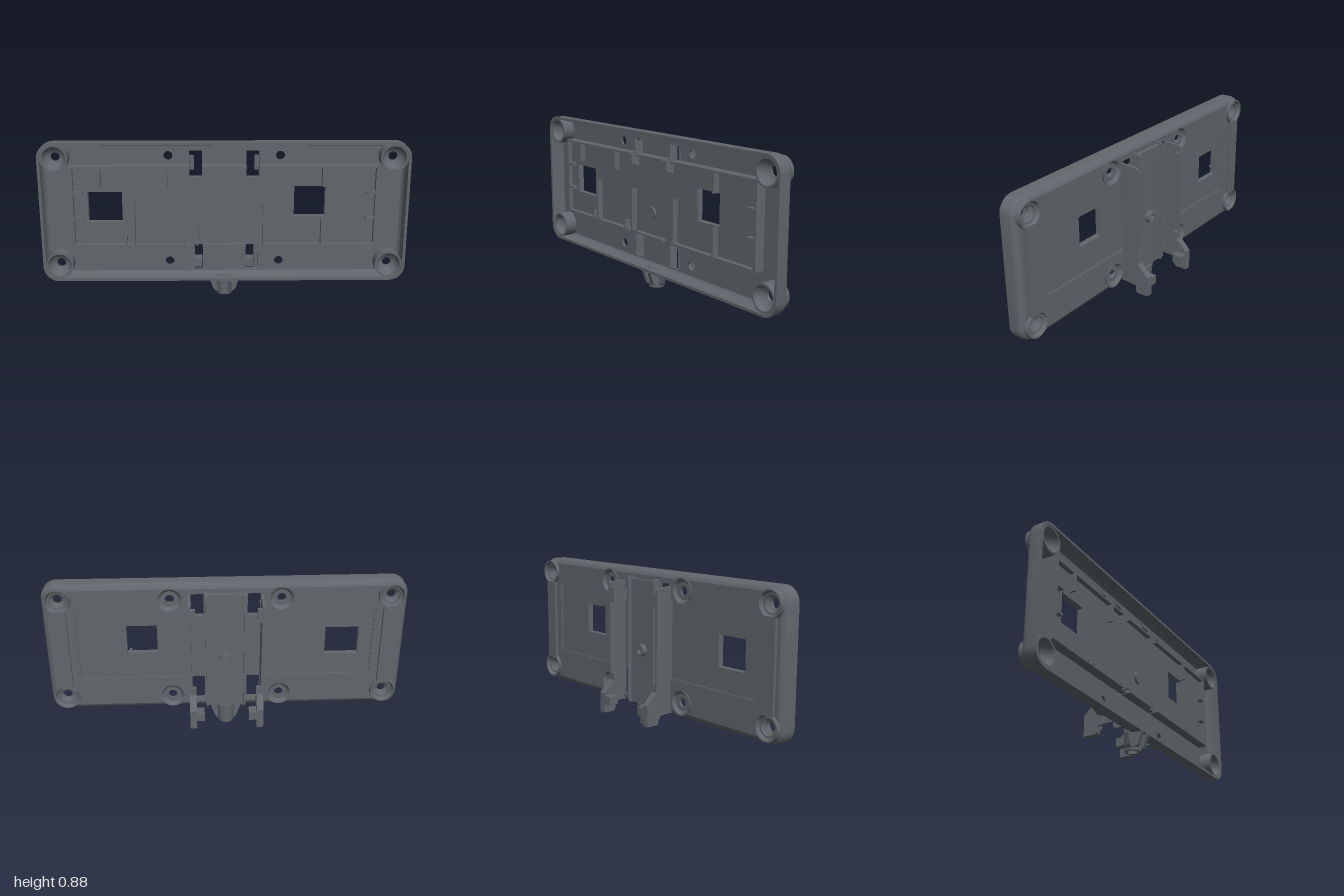
import * as THREE from 'three';
import { toCreasedNormals } from 'three/addons/utils/BufferGeometryUtils.js';

const mat = new THREE.MeshStandardMaterial({ color: 0x60666b, side: THREE.DoubleSide });
const CY = 0.488, HX = 1, HY = 0.392, R = 0.085;

export function createModel() {
  const group = new THREE.Group();
  const add = (name, geo) => {
    const m = new THREE.Mesh(geo, mat);
    m.name = name;
    group.add(m);
  };
  // box given by its limits
  const box = (name, x0, x1, y0, y1, z0, z1) => add(name,
    new THREE.BoxGeometry(Math.abs(x1 - x0), y1 - y0, z1 - z0)
      .translate((x0 + x1) / 2, (y0 + y1) / 2, (z0 + z1) / 2));
  const poly = (pts) => pts.map(([x, y]) => new THREE.Vector2(x, y));
  const rect = (x0, x1, y0, y1) => new THREE.Path(poly([[x0, y0], [x1, y0], [x1, y1], [x0, y1]]));
  const slab = (name, shape, z0, z1) => add(name,
    new THREE.ExtrudeGeometry(shape, { depth: z1 - z0, bevelEnabled: false, curveSegments: 20 }).translate(0, 0, z0));
  // extrude a (z, y) outline along x
  const sideSlab = (name, pts, x0, x1) => add(name,
    new THREE.ExtrudeGeometry(new THREE.Shape(poly(pts.map(([z, y]) => [-z, y]))), { depth: x1 - x0, bevelEnabled: false })
      .rotateY(Math.PI / 2).translate(x0, 0, 0));
  // turned part with its axis along z; points are (radius, z)
  const turned = (name, pts, x, y) => add(name, toCreasedNormals(
    new THREE.LatheGeometry(poly(pts), 32).rotateX(Math.PI / 2).translate(x, y, 0), 0.7));
  // rounded outline of the plate, moved inwards by an inset
  const outline = (inset) => {
    const pts = [], r = R - inset;
    for (let c = 0; c < 4; c++) {
      const sx = c === 0 || c === 3 ? 1 : -1, sy = c < 2 ? 1 : -1;
      for (let i = 0; i <= 8; i++) {
        const a = (c + i / 8) * Math.PI / 2;
        pts.push([sx * (HX - R) + r * Math.cos(a), CY + sy * (HY - R) + r * Math.sin(a)]);
      }
    }
    return pts;
  };

  // outer wall: a closed profile (inset, z) swept round the outline
  const profile = [[0, 0.13], [0, 0.072], [0.003, 0.06], [0.011, 0.05], [0.022, 0.043], [0.034, 0.038],
    [0.034, 0.052], [0.024, 0.058], [0.017, 0.072], [0.015, 0.13]];
  const pos = [], idx = [], n = 36;
  profile.forEach(([inset, z]) => outline(inset).forEach(([x, y]) => pos.push(x, y, z)));
  for (let j = 0; j < profile.length; j++) {
    const k = (j + 1) % profile.length;
    for (let i = 0; i < n; i++) {
      const a = j * n + i, b = j * n + (i + 1) % n, c = k * n + i, d = k * n + (i + 1) % n;
      idx.push(a, c, b, b, c, d);
    }
  }
  const wall = new THREE.BufferGeometry();
  wall.setAttribute('position', new THREE.Float32BufferAttribute(pos, 3));
  wall.setIndex(idx);
  add('outerWall', toCreasedNormals(wall, 0.7));

  // frame floor, open in the middle, with slots beside the centre strip
  const px = 0.83, y0 = 0.295, y1 = 0.738;
  const frame = new THREE.Shape(poly(outline(0.03)));
  frame.holes.push(new THREE.Path(poly([
    [-px, y0], [-0.19, y0], [-0.19, 0.14], [-0.12, 0.14], [-0.12, y0],
    [0.12, y0], [0.12, 0.14], [0.19, 0.14], [0.19, y0], [px, y0],
    [px, y1], [0.19, y1], [0.19, 0.82], [0.12, 0.82], [0.12, y1],
    [-0.12, y1], [-0.12, 0.82], [-0.19, 0.82], [-0.19, y1], [-px, y1]])));
  const screws = [];
  for (const x of [-0.91, -0.305, 0.305, 0.91]) for (const y of [0.187, 0.793]) screws.push([x, y]);
  for (const [x, y] of screws) {
    frame.holes.push(new THREE.Path().absarc(x, y, Math.abs(x) > 0.5 ? 0.045 : 0.025, 0, Math.PI * 2, true));
  }
  slab('frameFloor', frame, 0.038, 0.052);

  // thick centre panel with two windows
  const panel = new THREE.Shape(poly([
    [-px, y0], [px, y0], [px, y1], [0.19, y1], [0.19, 0.68], [0.12, 0.68], [0.12, y1],
    [-0.12, y1], [-0.12, 0.68], [-0.19, 0.68], [-0.19, y1], [-px, y1]]));
  panel.holes.push(rect(-0.744, -0.558, 0.427, 0.597), rect(0.381, 0.55, 0.457, 0.628));
  slab('centrePanel', panel, 0.048, 0.081);

  // screw cups: bowls on the back, with a raised ring in front at the corners
  const bowl = [[0.06, 0.045], [0.072, 0.02], [0.065, 0.02], [0.055, 0.033], [0.04, 0.044], [0.024, 0.05]];
  const cornerCup = [[0.075, 0.125], [0.075, 0.045], [0.072, 0.02], [0.065, 0.02], [0.056, 0.035], [0.042, 0.052],
    [0.024, 0.062], [0.024, 0.072], [0.042, 0.08], [0.058, 0.1], [0.064, 0.125], [0.075, 0.125]];
  for (const [x, y] of screws) {
    const corner = Math.abs(x) > 0.5;
    turned(corner ? 'cornerScrewCup' : 'middleScrewCup', corner ? cornerCup : bowl, x, y);
  }

  // low walls round the centre panel, clips at its ends and raised strips behind the ends
  for (const s of [-1, 1]) {
    box('panelEndWall', s * 0.82, s * 0.835, y0 - 0.005, y1 + 0.007, 0.04, 0.108);
    for (const y of [y0 - 0.005, y1 - 0.005]) box('panelLongWall', s * 0.19, s * 0.835, y, y + 0.012, 0.04, 0.108);
    for (const y of [0.45, 0.595]) box('endClip', s * 0.77, s * 0.825, y - 0.007, y + 0.007, 0.075, 0.108);
    box('endStrip', s * 0.87, s * 0.95, 0.245, 0.735, 0.021, 0.045);
  }
  for (const y of [y0 - 0.005, y1 - 0.005]) box('panelCentreWall', -0.12, 0.12, y, y + 0.012, 0.04, 0.108);

  // ribs on the front of the panel: x, bottom, top
  for (const [x, a, b] of [[-0.495, 0.3, 0.54], [-0.15, 0.3, 0.54], [0.215, 0.3, 0.54], [-0.675, 0.63, 0.735],
    [-0.315, 0.63, 0.735], [0.535, 0.63, 0.735], [0.535, 0.3, 0.45], [-0.54, 0.3, 0.35], [-0.22, 0.3, 0.35]]) {
    box('panelRib', x - 0.006, x + 0.006, a, b, 0.075, 0.115);
  }

  // centre strip on the back: backing, two ridges and a small tube with a post in front
  box('centreBacking', -0.1, 0.1, 0.115, 0.825, 0.016, 0.05);
  for (const s of [-1, 1]) {
    sideSlab('centreRidge', [[0.05, 0.11], [0.005, 0.11], [-0.006, 0.13], [-0.006, 0.825], [0.003, 0.838],
      [0.05, 0.838]], s * 0.106 - 0.006, s * 0.106 + 0.006);
  }
  turned('centreTube', [[0, 0.01], [0.018, 0.01], [0.018, -0.013], [0.035, -0.013], [0.035, 0.094], [0, 0.094]], 0, 0.43);

  // side brackets with hooked feet
  for (const s of [-1, 1]) {
    const c = s * 0.2;
    sideSlab('bracketPlate', [[0.055, 0.105], [0.0, 0.105], [-0.048, 0.1], [-0.048, 0.065], [-0.058, 0.055],
      [-0.128, 0.055], [-0.128, 0.17], [-0.063, 0.238], [-0.063, 0.795], [-0.055, 0.804], [0.055, 0.81]],
      c - 0.007, c + 0.007);
    sideSlab('bracketFoot', [[-0.05, 0.065], [-0.06, 0.055], [-0.128, 0.055], [-0.128, 0.17], [-0.063, 0.235],
      [-0.05, 0.2]], s * 0.187 - 0.018, s * 0.187 + 0.018);
    box('bracketHook', s * 0.125, s * 0.2, 0.105, 0.155, -0.128, -0.065);
    box('bracketUpperLip', s * 0.168, s * 0.2, 0.69, 0.77, -0.06, -0.04);
    box('bracketLowerLip', s * 0.168, s * 0.2, 0.125, 0.28, -0.06, -0.04);
  }

  // hollow spout below the frame, with side and front fins
  const spout = [[0.03, 0.0], [0.044, 0.0], [0.05, 0.115], [0.03, 0.115], [0.03, 0.0]];
  add('spout', toCreasedNormals(new THREE.LatheGeometry(poly(spout), 28).translate(0, 0, 0.052), 0.6));
  for (const s of [-1, 1]) {
    slab('spoutSideFin', new THREE.Shape(poly([[0.085, 0.11], [0.083, 0.085], [0.062, 0.025], [0.05, 0.012],
      [0.035, 0.012], [0.035, 0.11]].map(([x, y]) => [s * x, y]))), 0.045, 0.07);
    sideSlab('spoutFrontFin', [[0.129, 0.11], [0.129, 0.092], [0.105, 0.022], [0.095, 0.015], [0.07, 0.015],
      [0.07, 0.11]], s * 0.03 - 0.012, s * 0.03 + 0.012);
  }
  return group;
}
